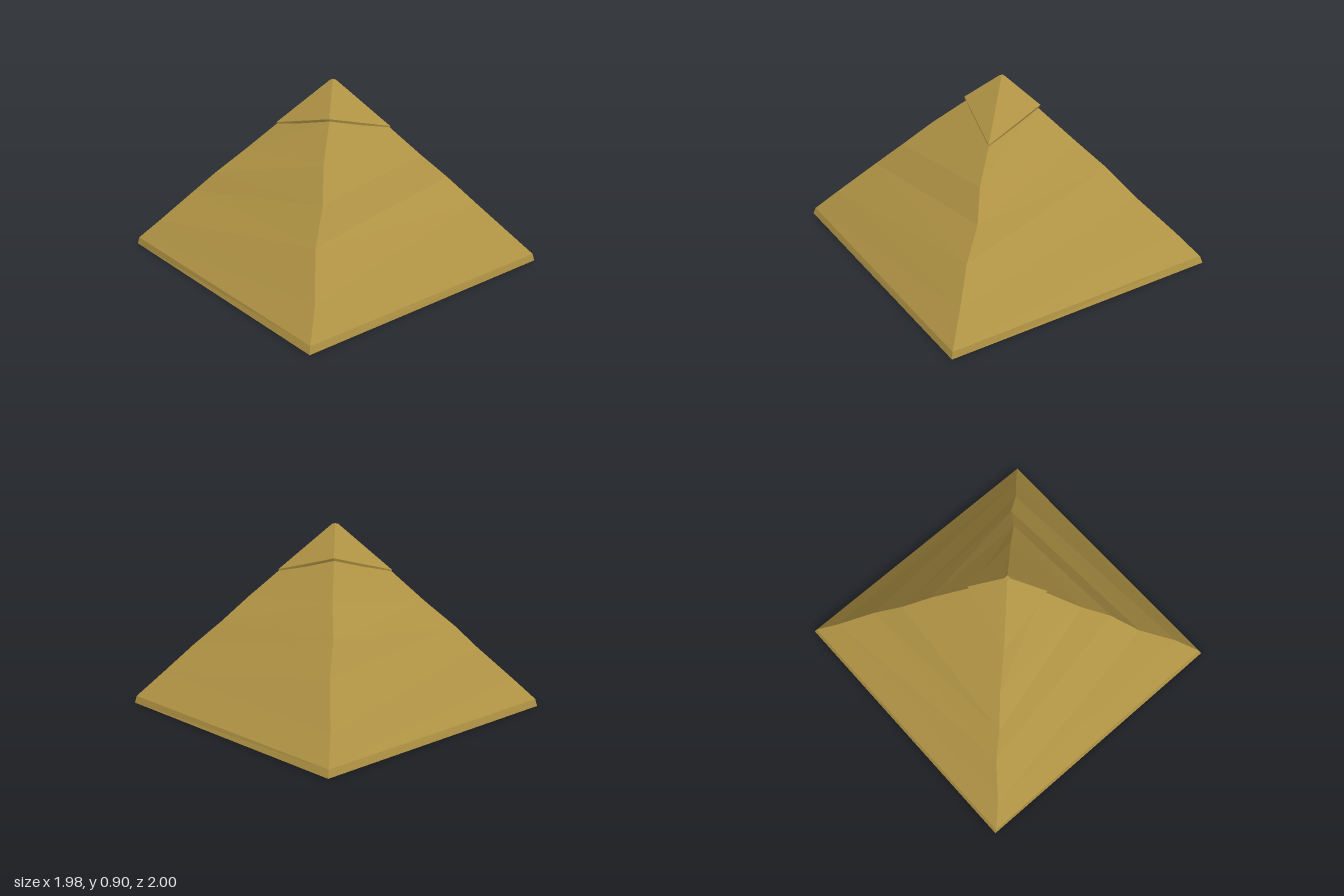
import * as THREE from 'three';

// Ridge rows from bottom to top: [distance from the axis, height, sideways wobble]
const RIDGES = [
  // left (+x), wobble along z
  [[0.99, 0, -0.004], [0.98, 0.035, -0.005], [0.84, 0.162, -0.004], [0.69, 0.3, 0.002], [0.55, 0.422, -0.014], [0.42, 0.54, 0.006], [0.26, 0.68, 0], [0.08, 0.84, 0]],
  // back (-z), wobble along x
  [[1, 0, 0], [0.985, 0.035, -0.001], [0.86, 0.148, -0.005], [0.66, 0.326, 0.004], [0.51, 0.465, -0.007], [0.36, 0.595, 0.002], [0.17, 0.755, 0], [0.08, 0.835, 0]],
  // right (-x), wobble along z
  [[0.99, 0, 0], [0.98, 0.035, 0.003], [0.87, 0.135, 0.006], [0.69, 0.298, -0.012], [0.58, 0.402, -0.003], [0.43, 0.528, -0.009], [0.26, 0.68, 0], [0.08, 0.84, 0]],
  // front (+z), wobble along x
  [[1, 0, 0], [0.985, 0.035, 0.001], [0.85, 0.16, 0.006], [0.65, 0.335, -0.013], [0.5, 0.473, 0.004], [0.35, 0.605, -0.009], [0.17, 0.755, 0], [0.08, 0.835, 0]],
];

// Capstone rows: inner underside, lower lip, upper lip, blunt tip
const capX = [[0.24, 0.672, 0], [0.268, 0.664, 0], [0.273, 0.677, 0], [0.014, 0.9, 0]];
const capZ = [[0.155, 0.76, 0], [0.179, 0.756, 0], [0.184, 0.769, 0], [0.014, 0.9, 0]];

// Turns a ridge row into a point; ridges go counter-clockwise seen from above
function ridgePoint(side, [r, y, w]) {
  return [[r, y, w], [w, y, -r], [-r, y, w], [w, y, r]][side];
}

// Skins four ridges with flat faces and closes both ends
function fourSided(ridges) {
  const pos = [];
  const quad = (a, b, c, d) => pos.push(...a, ...b, ...c, ...a, ...c, ...d);
  const at = (side, row) => ridgePoint(side % 4, ridges[side % 4][row]);
  const last = ridges[0].length - 1;
  for (let row = 0; row < last; row++) {
    for (let s = 0; s < 4; s++) {
      quad(at(s, row), at(s + 1, row), at(s + 1, row + 1), at(s, row + 1));
    }
  }
  quad(at(3, 0), at(2, 0), at(1, 0), at(0, 0));
  quad(at(0, last), at(1, last), at(2, last), at(3, last));
  const geometry = new THREE.BufferGeometry();
  geometry.setAttribute('position', new THREE.Float32BufferAttribute(pos, 3));
  geometry.computeVertexNormals();
  return geometry;
}

export function createModel() {
  const group = new THREE.Group();
  group.name = 'pyramid';

  const sandstone = new THREE.MeshStandardMaterial({ color: 0xb09344 });
  sandstone.name = 'sandstone';

  // Worn body with wavering ridges and a short plinth edge
  const body = new THREE.Mesh(fourSided(RIDGES), sandstone);
  body.name = 'body';

  // Capstone standing slightly proud of the body
  const capstone = new THREE.Mesh(fourSided([capX, capZ, capX, capZ]), sandstone);
  capstone.name = 'capstone';

  group.add(body, capstone);
  return group;
}
